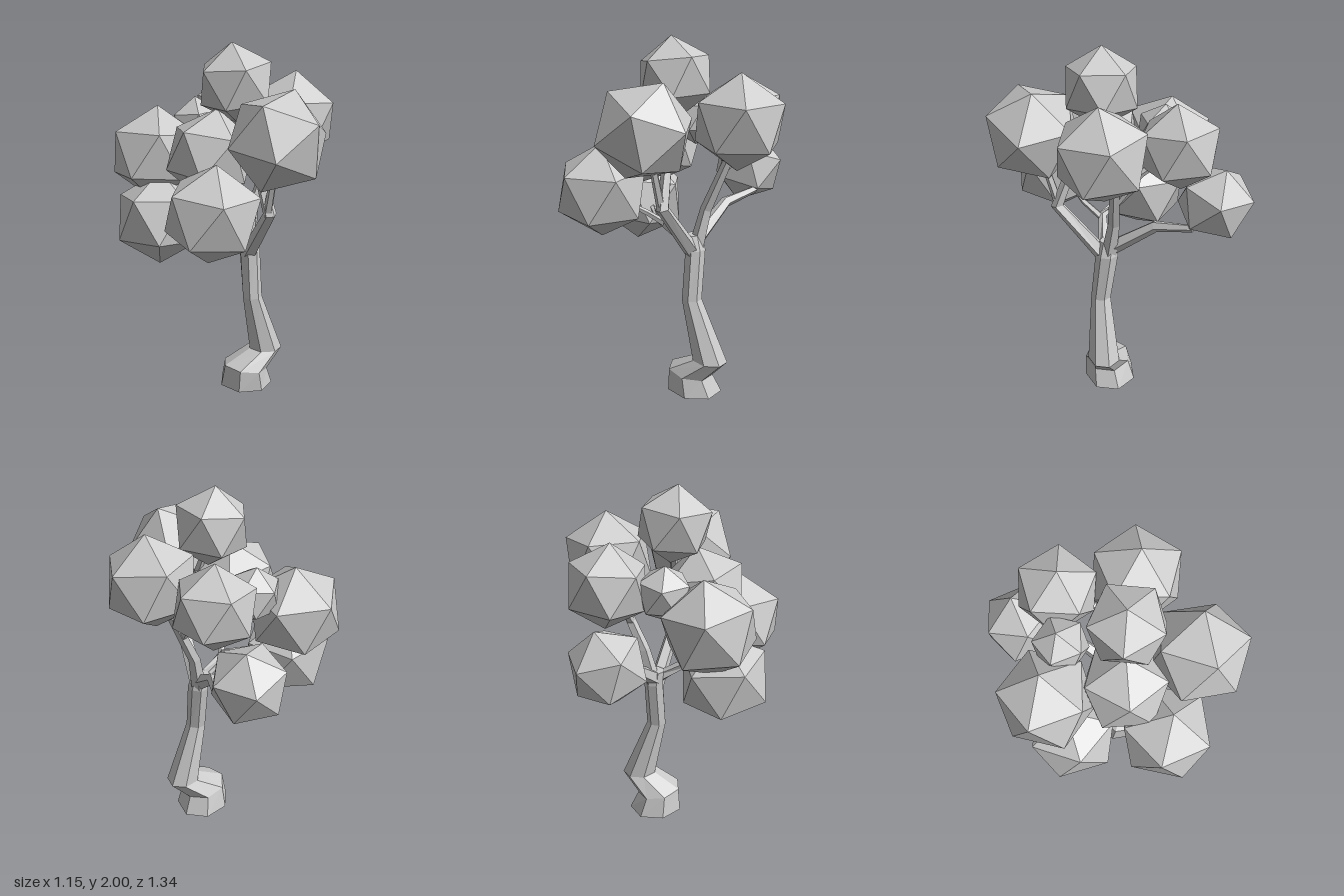
import * as THREE from 'three';

const V = (x, y, z) => new THREE.Vector3(x, y, z);
const material = new THREE.MeshStandardMaterial({ color: 0xcccccc, flatShading: true });

// Skin a list of rings (each an array of points, counter-clockwise about the limb) and cap both ends
function loft(rings) {
  const n = rings[0].length, pos = [], index = [];
  rings.forEach(r => r.forEach(p => pos.push(p.x, p.y, p.z)));
  for (let i = 0; i < rings.length - 1; i++) {
    for (let j = 0; j < n; j++) {
      const a = i * n + j, b = i * n + (j + 1) % n;
      index.push(a, b, b + n, a, b + n, a + n);
    }
  }
  const top = (rings.length - 1) * n;
  for (let j = 1; j < n - 1; j++) index.push(0, j + 1, j, top, top + j, top + j + 1);
  const g = new THREE.BufferGeometry();
  g.setAttribute('position', new THREE.Float32BufferAttribute(pos, 3));
  g.setIndex(index);
  const flat = g.toNonIndexed();
  flat.computeVertexNormals();
  return flat;
}

// Tapered branch through points [x, y, z, radius]
function branchGeometry(points, sides = 5) {
  const c = points.map(p => V(p[0], p[1], p[2]));
  const rings = c.map((p, i) => {
    const t = V(0, 0, 0);
    if (i > 0) t.add(p.clone().sub(c[i - 1]).normalize());
    if (i < c.length - 1) t.add(c[i + 1].clone().sub(p).normalize());
    t.normalize();
    const u = V(1, 0, 0.3).projectOnPlane(t).normalize();
    const v = t.clone().cross(u);
    return Array.from({ length: sides }, (_, j) => {
      const a = j / sides * Math.PI * 2;
      return p.clone().addScaledVector(u, Math.cos(a) * points[i][3]).addScaledVector(v, Math.sin(a) * points[i][3]);
    });
  });
  return loft(rings);
}

// Crooked trunk from horizontal sections [x, y, z, rx, rz, tilt]
function trunkGeometry(sections, sides = 7) {
  return loft(sections.map(([x, y, z, rx, rz, tilt]) =>
    Array.from({ length: sides }, (_, j) => {
      const a = (j + 0.25) / sides * Math.PI * 2;
      return V(x + rx * Math.cos(a), y - tilt * Math.cos(a), z - rz * Math.sin(a));
    })));
}

// Icosahedron with one corner along apex and a neighbouring corner towards side
function leafGeometry(r, apex, side) {
  const g = new THREE.IcosahedronGeometry(r, 0);
  const frame = (a, b) => {
    const y = a.clone().normalize();
    const x = b.clone().projectOnPlane(y).normalize();
    return new THREE.Matrix4().makeBasis(x, y, x.clone().cross(y));
  };
  const k = (1 + Math.sqrt(5)) / 2;
  const from = frame(V(0, 1, k), V(0, -1, k));
  g.applyMatrix4(frame(apex, side).multiply(from.transpose()));
  return g;
}

export function createModel() {
  const tree = new THREE.Group();
  tree.name = 'tree';
  const add = (name, geometry, parent = tree) => {
    const m = new THREE.Mesh(geometry, material);
    m.name = name;
    parent.add(m);
    return m;
  };

  // Trunk with a flared foot and a kink above it
  add('trunk', trunkGeometry([
    [0.08, 0.012, 0.055, 0.158, 0.15, 0.01],
    [0.063, 0.13, 0.07, 0.127, 0.13, 0.025],
    [0.19, 0.225, 0.10, 0.1, 0.092, 0.008],
    [0.083, 0.58, 0.105, 0.056, 0.057, 0],
    [0.09, 0.86, 0.07, 0.055, 0.064, 0],
    [0.075, 0.94, 0.06, 0.045, 0.05, 0],
  ]));

  // Branches reaching into the foliage
  const branches = new THREE.Group();
  branches.name = 'branches';
  tree.add(branches);
  [
    [[0.08, 0.84, 0.08, 0.045], [0.01, 1.14, 0.33, 0.037], [0.0, 1.4, 0.23, 0.026], [-0.01, 1.7, 0.1, 0.015]],
    [[0.0, 1.13, 0.32, 0.025], [-0.02, 1.42, 0.4, 0.018]],
    [[0.09, 0.85, 0.06, 0.045], [0.14, 1.08, 0.035, 0.034], [0.28, 1.4, 0.045, 0.025], [0.32, 1.48, 0.07, 0.018]],
    [[0.21, 1.24, 0.04, 0.025], [0.24, 1.42, -0.09, 0.02], [0.25, 1.5, -0.2, 0.015]],
    [[0.08, 0.89, 0.06, 0.045], [0.18, 1.075, -0.18, 0.032], [0.29, 1.115, -0.35, 0.022], [0.24, 1.18, -0.46, 0.015]],
    [[0.08, 0.88, 0.08, 0.035], [-0.1, 1.0, 0.08, 0.026], [-0.2, 1.04, -0.02, 0.018], [-0.3, 1.04, -0.15, 0.014]],
    [[-0.09, 0.99, 0.08, 0.02], [-0.15, 1.07, 0.18, 0.016], [-0.28, 1.16, 0.27, 0.012]],
  ].forEach((p, i) => add('branch' + (i + 1), branchGeometry(p), branches));

  // Leaf clumps: [x, y, z, radius, apex x, apex z, side x, side z]
  const foliage = new THREE.Group();
  foliage.name = 'foliage';
  tree.add(foliage);
  [
    [-0.022, 1.788, 0.083, 0.213, -0.1, -0.02, -0.28, -0.9],
    [0.343, 1.575, 0.115, 0.255, 0.05, 0.06, 0.2, -0.93],
    [0.25, 1.56, -0.28, 0.225, -0.07, 0.06, 0.25, -0.9],
    [0.207, 1.222, -0.49, 0.211, 0.23, -0.18, 0.95, 0.07],
    [-0.04, 1.555, 0.437, 0.264, 0.4, 0, 0.95, 0.26],
    [-0.35, 1.205, 0.31, 0.258, 0.05, 0.08, -0.16, -0.95],
    [-0.27, 1.385, -0.3, 0.262, 0.12, -0.08, -0.05, -0.9],
    [-0.335, 1.062, -0.18, 0.255, 0.1, -0.1, -0.9, 0.3],
    [-0.19, 1.44, 0.085, 0.24, 0.2, 0, -0.1, 0.95],
    [-0.03, 1.53, -0.24, 0.15, -0.05, -0.1, -0.1, -0.9],
  ].forEach(([x, y, z, r, ax, az, sx, sz], i) => {
    const apex = V(ax, Math.sqrt(1 - ax * ax - az * az), az);
    add('leafClump' + (i + 1), leafGeometry(r, apex, V(sx, 0.3, sz)), foliage).position.set(x, y, z);
  });

  return tree;
}
